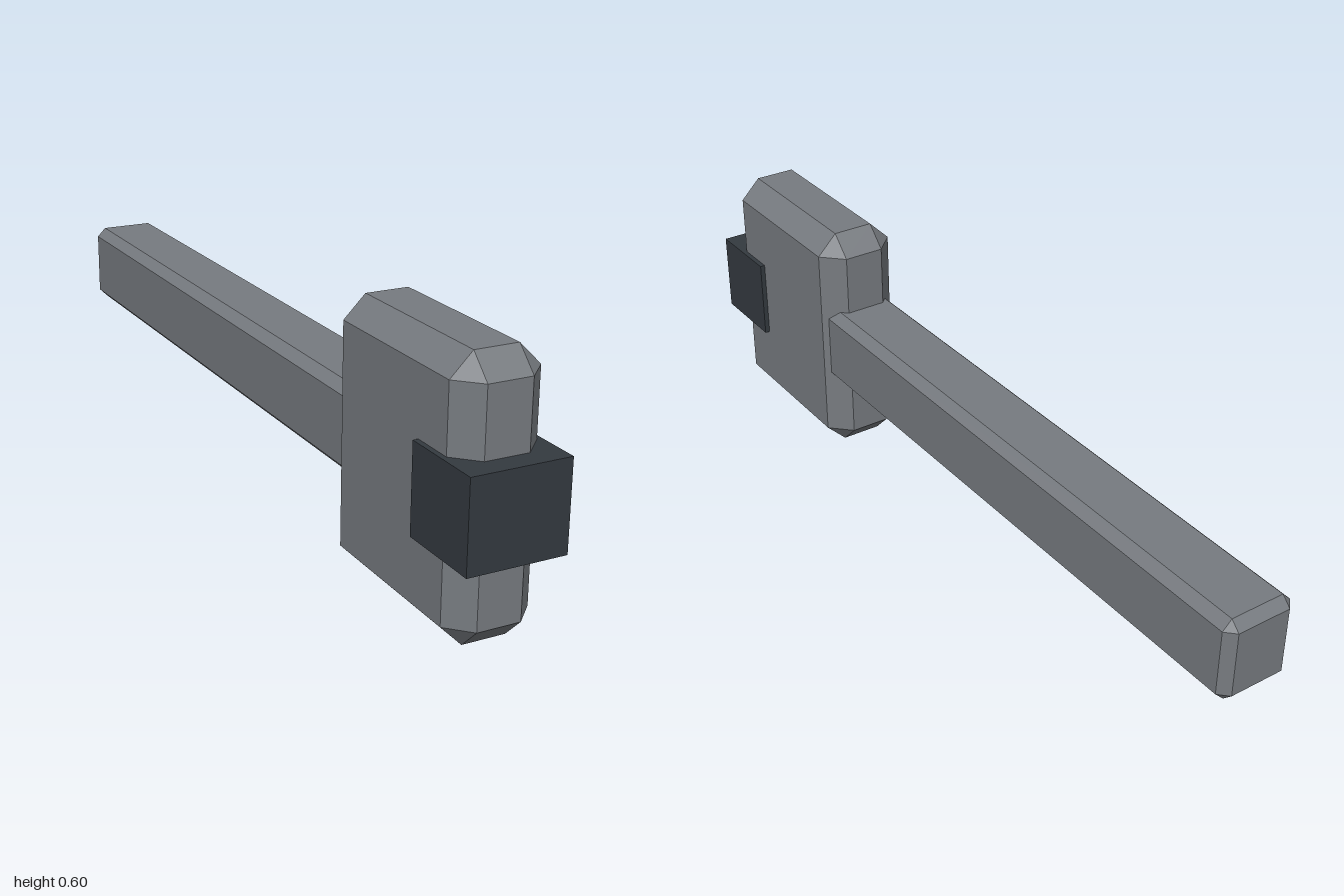
import * as THREE from 'three';
import { ConvexGeometry } from 'three/addons/geometries/ConvexGeometry.js';

// Box with every edge and corner chamfered by c
function chamferedBox(w, h, d, c) {
  const points = [];
  for (const sx of [-1, 1]) for (const sy of [-1, 1]) for (const sz of [-1, 1]) {
    for (let face = 0; face < 3; face++) {
      const inset = [c, c, c];
      inset[face] = 0;
      points.push(new THREE.Vector3(
        sx * (w / 2 - inset[0]), sy * (h / 2 - inset[1]), sz * (d / 2 - inset[2])));
    }
  }
  return new ConvexGeometry(points);
}

export function createModel() {
  const group = new THREE.Group();
  group.name = 'mallet';

  const grey = new THREE.MeshStandardMaterial({ color: 0x777b80 });
  grey.name = 'steel grey';
  const dark = new THREE.MeshStandardMaterial({ color: 0x343a40 });
  dark.name = 'dark slate';

  function add(name, geometry, material, z) {
    const mesh = new THREE.Mesh(geometry, material);
    mesh.name = name;
    mesh.position.set(0, 0.3, z);
    group.add(mesh);
  }

  // Tall head block
  add('head', chamferedBox(0.2, 0.6, 0.5, 0.05), grey, 0.7);
  // Long handle, its front end buried in the head
  add('handle', chamferedBox(0.175, 0.2, 1.6, 0.022), grey, -0.2);
  // Square cap wrapped around the front of the head
  add('frontCap', new THREE.BoxGeometry(0.224, 0.2, 0.2), dark, 0.9);

  return group;
}
